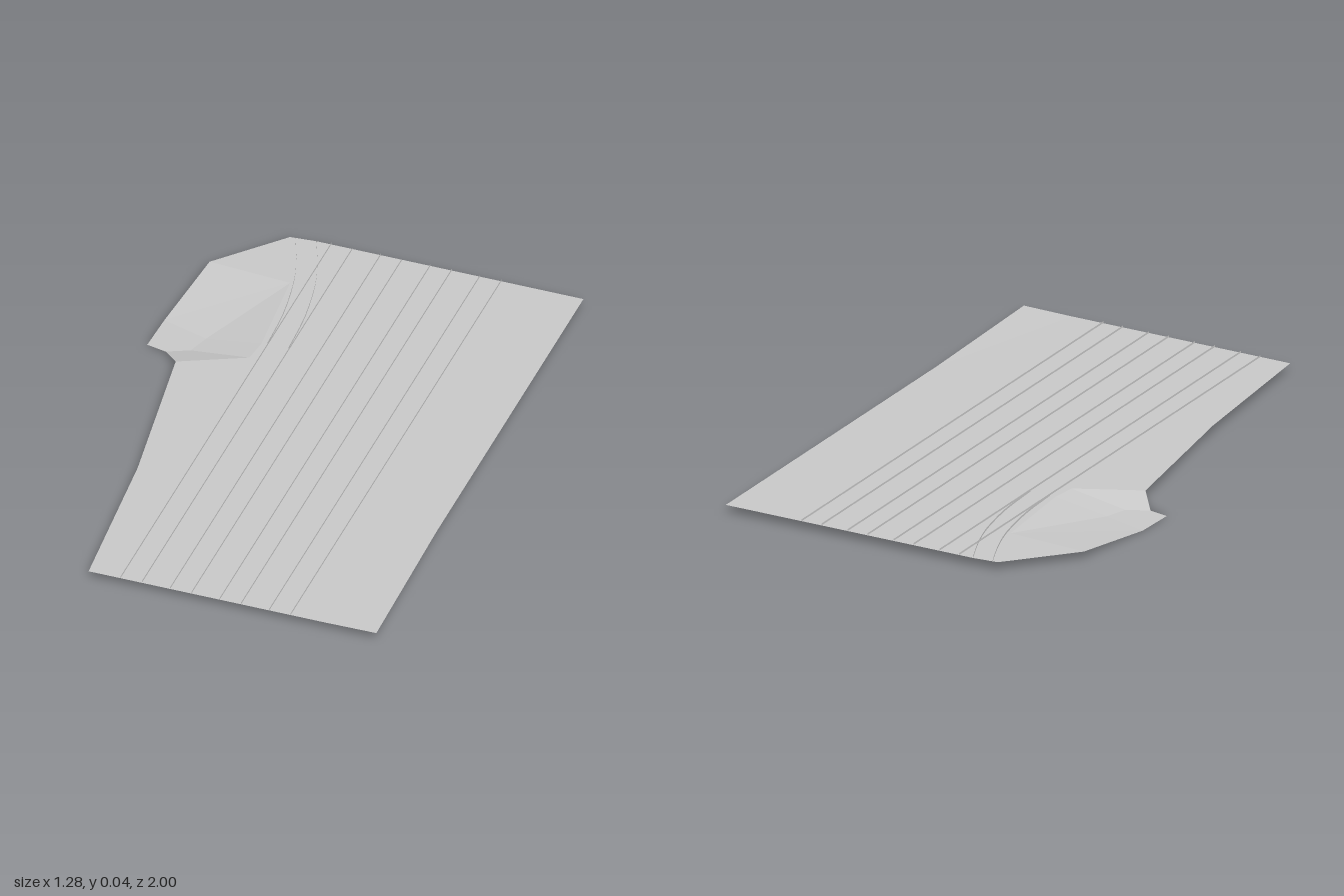
import * as THREE from 'three';

export function createModel() {
  const model = new THREE.Group();
  const grey = new THREE.MeshStandardMaterial({ color: 0xc8c8c8, side: THREE.DoubleSide, flatShading: true });
  grey.name = 'light grey';

  const Y = 0.03, TOP = 0.037;

  // Corner points as [x, y, z]
  const P = {
    backCurve: [-0.31, Y, -1], backEdge: [-0.4, Y, -0.992], inBack: [-0.31, Y, -0.75],
    inMid: [-0.28, Y, -0.4], inFront: [-0.29, Y, -0.31],
    neck: [-0.51, Y, -0.205], side: [-0.42, Y, 0.4], frontR: [-0.37, Y, 1], frontMid: [0.46, Y, 1],
    frontL: [0.64, 0.032, 1], sideL: [0.627, Y, 0.4], backL: [0.627, Y, -1],
    wingBack: [-0.6, Y, -0.77], wingSide: [-0.64, 0, -0.45], wingTip: [-0.645, 0, -0.3],
    wingFront: [-0.575, 0, -0.285], lowFront: [-0.5, 0, -0.32], lowIn: [-0.475, 0, -0.4],
  };

  function addMesh(name, pos, index) {
    const geo = new THREE.BufferGeometry();
    geo.setAttribute('position', new THREE.Float32BufferAttribute(pos, 3));
    if (index) geo.setIndex(index);
    geo.computeVertexNormals();
    const mesh = new THREE.Mesh(geo, grey);
    mesh.name = name;
    model.add(mesh);
  }

  // Faceted sheet made of polygons that are triangulated in plan
  function addSheet(name, polygons) {
    const pos = [];
    for (const poly of polygons) {
      const pts = poly.split(' ').map((n) => P[n]);
      const plan = pts.map(([x, , z]) => new THREE.Vector2(x, -z));
      if (THREE.ShapeUtils.isClockWise(plan)) { plan.reverse(); pts.reverse(); }
      for (const tri of THREE.ShapeUtils.triangulateShape(plan, [])) for (const i of tri) pos.push(...pts[i]);
    }
    addMesh(name, pos);
  }

  addSheet('deck', [
    'backCurve backEdge inBack inMid inFront neck side frontR frontMid sideL backL',
    'frontMid frontL sideL',
  ]);

  // Sunken bay beside the tracks
  addSheet('sideBay', [
    'backEdge wingBack inBack',
    'wingBack wingSide inBack',
    'wingSide lowIn inBack',
    'lowIn inMid inBack',
    'wingSide wingTip wingFront lowFront lowIn',
    'lowIn inFront inMid',
    'lowIn lowFront inFront',
    'lowFront neck inFront',
    'wingFront neck lowFront',
  ]);

  // Upright strip following a plan path of [x, z] points
  function addRail(name, path, bottom) {
    const pos = [], index = [];
    path.forEach(([x, z], i) => {
      pos.push(x, bottom, z, x, TOP, z);
      if (i) index.push(2 * i - 2, 2 * i, 2 * i - 1, 2 * i - 1, 2 * i, 2 * i + 1);
    });
    addMesh(name, pos, index);
  }

  // Four straight tracks of two rails, and one branch curving off
  for (let t = 0; t < 4; t++) {
    for (const offset of [0, 0.075]) {
      const x = -0.258 + t * 0.174 + offset;
      addRail('straightRail', [[x, -1], [x, 1]], Y);
    }
  }
  const branch = new THREE.SplineCurve([
    [-0.26, -0.4], [-0.27, -0.58], [-0.3, -0.76], [-0.34, -0.89], [-0.385, -1],
  ].map(([x, z]) => new THREE.Vector2(x, z))).getPoints(12);
  for (const offset of [0, 0.074]) {
    addRail('branchRail', branch.map((p) => [p.x + offset, p.y]), Y - 0.001);
  }

  return model;
}
